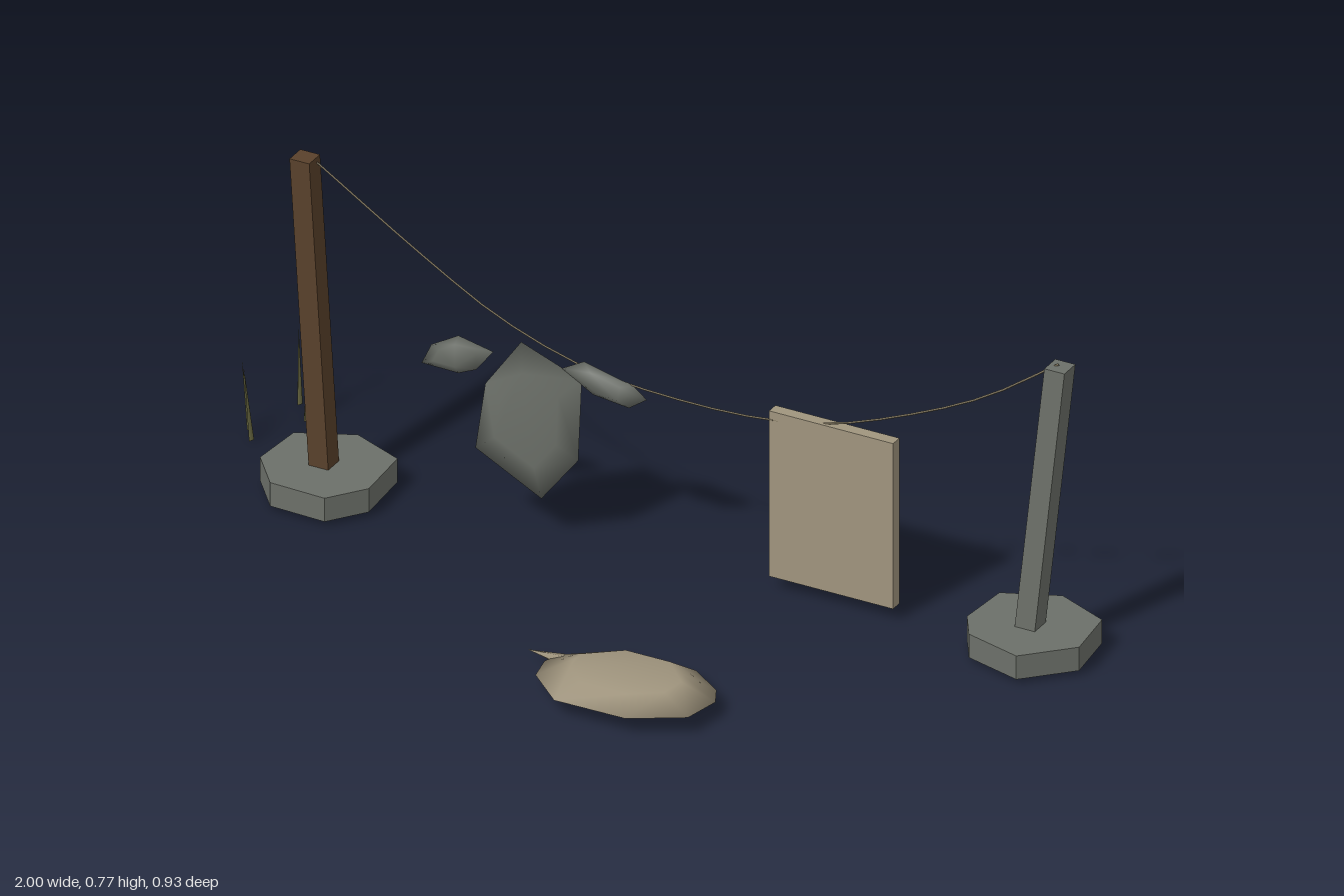
import * as THREE from 'three';
import { mergeVertices } from 'three/addons/utils/BufferGeometryUtils.js';
import { ConvexGeometry } from 'three/addons/geometries/ConvexGeometry.js';

const V = (x, y, z) => new THREE.Vector3(x, y, z);

function material(name, color) {
  const m = new THREE.MeshStandardMaterial({ color });
  m.name = name;
  return m;
}

// Faceted slab standing from y0 to y1 over an outline of [x, z] points
function slab(outline, y0, y1) {
  const pts = outline.flatMap(([x, z]) => [V(x, y0, z), V(x, y1, z)]);
  return new ConvexGeometry(pts);
}

// Square beam leaning from one point to another, with level ends
function leaningPost(from, to, size) {
  const g = new THREE.BoxGeometry(size, 1, size).translate(0, 0.5, 0);
  const p = g.attributes.position;
  for (let i = 0; i < p.count; i++) {
    const c = from.clone().lerp(to, p.getY(i));
    p.setXYZ(i, p.getX(i) + c.x, c.y, p.getZ(i) + c.z);
  }
  g.computeVertexNormals();
  return g;
}

// Tapered spike between two points
function spike(from, to, radius, sides) {
  const dir = to.clone().sub(from);
  const g = new THREE.ConeGeometry(radius, dir.length(), sides).translate(0, dir.length() / 2, 0);
  g.applyQuaternion(new THREE.Quaternion().setFromUnitVectors(V(0, 1, 0), dir.normalize()));
  return g.translate(from.x, from.y, from.z);
}

// Soft pillow: rim plus a smaller ring on each side, smooth shaded
function pillow(rim, inset, front, back) {
  const c = rim.reduce((a, p) => a.add(p), V(0, 0, 0)).divideScalar(rim.length);
  const inner = rim.map((p) => c.clone().lerp(p, inset));
  const g = new ConvexGeometry([...rim, ...inner.map(front), ...inner.map(back)]);
  g.deleteAttribute('normal');
  const merged = mergeVertices(g, 1e-4);
  merged.computeVertexNormals();
  return merged;
}

// Pillow hanging along the line, from an [x, y] outline
function hangingPillow(outline, half) {
  const rim = outline.map(([x, y]) => V(x, y, -0.165 - 0.09 * (x + 0.5)));
  return pillow(rim, 0.6,
    (p) => p.clone().add(V(0, 0.004, half)),
    (p) => p.clone().add(V(0, -0.004, -half)));
}

export function createModel() {
  const group = new THREE.Group();
  const stone = material('weathered grey', 0x6c7069);
  const wood = material('dark wood', 0x59412b);
  const cloth = material('tan cloth', 0xa0957e);
  const cord = material('cord', 0x80765f);
  const grass = material('dry grass', 0x67663f);
  const add = (name, geometry, mat) => {
    const mesh = new THREE.Mesh(geometry, mat);
    mesh.name = name;
    group.add(mesh);
    return mesh;
  };

  // Seven-sided footings
  add('rightFooting', slab([[-0.73, -0.29], [-0.61, -0.24], [-0.60, -0.10], [-0.66, -0.02],
    [-0.79, -0.025], [-0.86, -0.11], [-0.85, -0.235]], 0.01, 0.065), stone);
  add('leftFooting', slab([[0.865, -0.386], [0.985, -0.335], [1.0, -0.21], [0.905, -0.115],
    [0.775, -0.15], [0.735, -0.215], [0.745, -0.335]], 0.01, 0.065), stone);

  // Leaning posts
  add('woodPost', leaningPost(V(-0.732, 0.04, -0.151), V(-0.778, 0.77, -0.151), 0.046), wood);
  add('greyPost', leaningPost(V(0.863, 0.04, -0.246), V(0.922, 0.672, -0.27), 0.047), stone);

  // Sagging line
  const sag = [[-0.77, 0.768], [-0.5, 0.585], [-0.34, 0.49], [-0.15, 0.42], [0.05, 0.394],
    [0.25, 0.393], [0.4, 0.416], [0.57, 0.475], [0.75, 0.56], [0.92, 0.677]];
  const line = new THREE.CatmullRomCurve3(sag.map(([x, y]) => V(x, y, -0.16 - 0.065 * (x + 0.77))));
  add('line', new THREE.TubeGeometry(line, 24, 0.0025, 4), cord);

  // Hanging sheet
  add('hangingSheet', new THREE.BoxGeometry(0.29, 0.387, 0.027), cloth)
    .position.set(0.411, 0.222, -0.24);

  // Hanging grey garment with two sleeves
  add('garmentBody', hangingPillow([[-0.29, 0.45], [-0.155, 0.39], [-0.163, 0.20],
    [-0.245, 0.093], [-0.392, 0.18], [-0.37, 0.335]], 0.014), stone);
  add('garmentRightSleeve', hangingPillow([[-0.512, 0.352], [-0.49, 0.40], [-0.43, 0.434],
    [-0.352, 0.413], [-0.39, 0.363], [-0.43, 0.346]], 0.013), stone);
  add('garmentLeftSleeve', hangingPillow([[-0.20, 0.408], [-0.15, 0.435], [-0.04, 0.402],
    [-0.01, 0.376], [-0.05, 0.348], [-0.13, 0.362]], 0.015), stone);

  // Stuffed bundle on the ground with its pointed end
  const rim = [[0.045, 0.27], [0.16, 0.19], [0.33, 0.2], [0.41, 0.26], [0.435, 0.31],
    [0.42, 0.4], [0.31, 0.465], [0.14, 0.46], [0.05, 0.375], [0.035, 0.31]]
    .map(([x, z]) => V(x, 0.022 + 0.025 * x + 0.04 * (z - 0.19), z));
  add('bundle', pillow(rim, 0.62,
    (p) => V(p.x, 0.062 + 0.04 * (p.x - 0.22), p.z),
    (p) => V(p.x, 0.005 + 0.06 * Math.max(0, p.x - 0.12), p.z)), cloth);
  add('bundleTip', spike(V(0.09, 0.03, 0.288), V(-0.022, 0.025, 0.278), 0.024, 5).scale(1, 0.6, 1)
    .translate(0, 0.01, 0), cloth);

  // Grass blades
  const blades = [
    [V(-0.955, 0, -0.45), V(-0.96, 0.18, -0.456)],
    [V(-0.91, 0, -0.44), V(-0.895, 0.21, -0.467)],
    [V(-0.91, 0, -0.395), V(-0.902, 0.175, -0.396)],
    [V(-0.994, 0.002, -0.306), V(-0.999, 0.17, -0.286)],
    [V(-0.967, 0.002, -0.265), V(-0.977, 0.17, -0.255)],
  ];
  blades.forEach(([a, b]) => add('grassBlade', spike(a, b, 0.007, 3), grass));

  return group;
}
